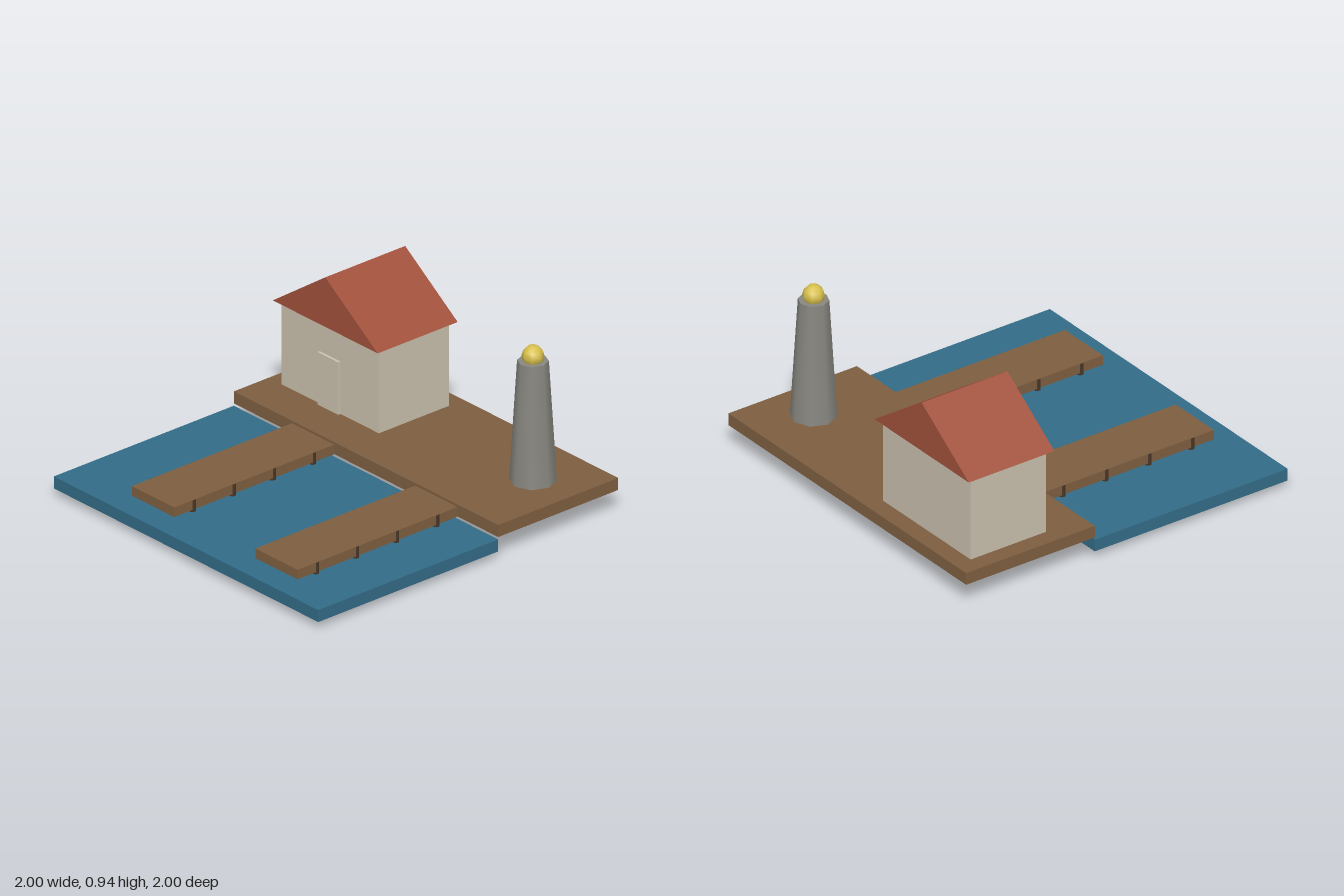
import * as THREE from 'three';

const mat = (name, color) => Object.assign(new THREE.MeshStandardMaterial({ color }), { name });

export function createModel() {
  const model = new THREE.Group();
  model.name = 'harbour';

  const wood = mat('wood', 0x7d5e40);
  const darkWood = mat('dark wood', 0x4a3728);
  const water = mat('water', 0x336b87);
  const plaster = mat('plaster', 0xc8bfad);
  const roofTile = mat('roof tile', 0xa0503a);
  const stone = mat('stone', 0x888780);
  const lampYellow = mat('lamp yellow', 0xd8c04c);

  const add = (name, geometry, material, x, y, z, parent = model) => {
    const mesh = new THREE.Mesh(geometry, material);
    mesh.name = name;
    mesh.position.set(x, y, z);
    parent.add(mesh);
    return mesh;
  };
  // Box given by its lower and upper corners
  const box = (name, material, [x0, y0, z0], [x1, y1, z1], parent) =>
    add(name, new THREE.BoxGeometry(x1 - x0, y1 - y0, z1 - z0), material,
      (x0 + x1) / 2, (y0 + y1) / 2, (z0 + z1) / 2, parent);

  // Water slab and quay
  box('water', water, [-1, 0.04, -0.2], [1, 0.107, 1]);
  box('quay', wood, [-1, 0.12, -1], [1, 0.187, -0.2]);

  // Two piers, each on four pairs of piles
  const pileGeometry = new THREE.CylinderGeometry(0.0175, 0.0175, 0.173, 6);
  for (const x of [-0.4, 0.533]) {
    const pier = new THREE.Group();
    pier.name = 'pier';
    model.add(pier);
    box('pierDeck', wood, [x - 0.16, 0.12, -0.2], [x + 0.16, 0.1735, 0.867], pier);
    for (const side of [-1, 1]) {
      for (let i = 0; i < 4; i++) {
        add('pile', pileGeometry, darkWood, x + side * 0.147, 0.0865, -0.067 + i * 0.267, pier);
      }
    }
  }

  // House with a gabled roof
  const house = new THREE.Group();
  house.name = 'house';
  model.add(house);
  box('walls', plaster, [-0.903, 0.187, -0.9], [-0.167, 0.655, -0.433], house);
  box('door', plaster, [-0.613, 0.187, -0.44], [-0.457, 0.48, -0.417], house);
  const gable = new THREE.Shape([
    new THREE.Vector2(-0.397, 0), new THREE.Vector2(0.397, 0), new THREE.Vector2(0, 0.277),
  ]);
  const roofGeometry = new THREE.ExtrudeGeometry(gable, { depth: 0.533, bevelEnabled: false });
  add('roof', roofGeometry, roofTile, -0.535, 0.655, -0.933, house);

  // Beacon tower with a lamp on top
  const beacon = new THREE.Group();
  beacon.name = 'beacon';
  beacon.position.set(0.733, 0, -0.667);
  model.add(beacon);
  add('tower', new THREE.CylinderGeometry(0.08, 0.12, 0.667, 8), stone, 0, 0.5205, 0, beacon);
  add('lamp', new THREE.SphereGeometry(0.058, 8, 6), lampYellow, 0, 0.88, 0, beacon);

  return model;
}
